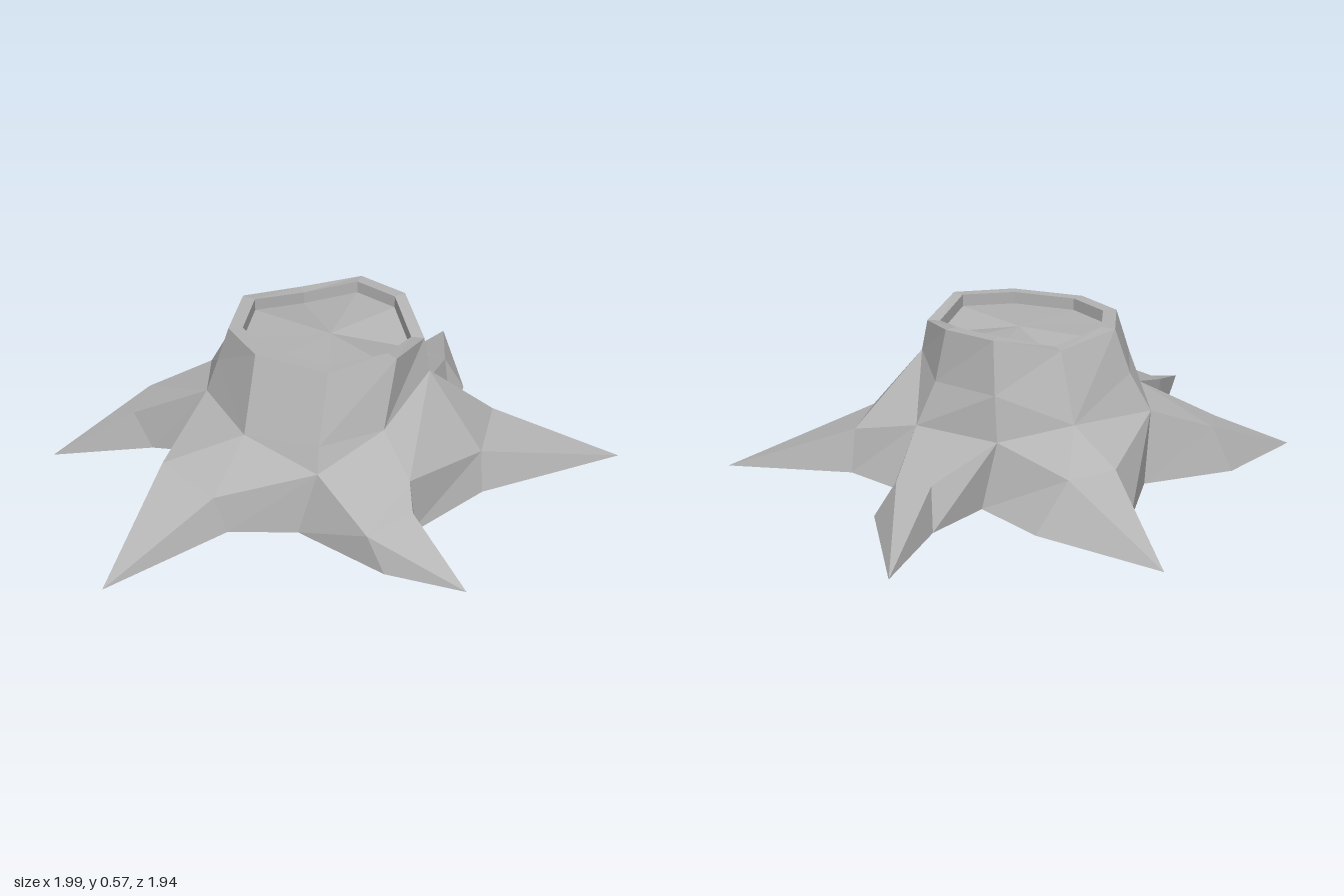
import * as THREE from 'three';

const vec = (p) => new THREE.Vector3(...p);

// Flat-shaded mesh from a list of triangles, each three Vector3 corners
function facetMesh(name, tris, material) {
  const geo = new THREE.BufferGeometry().setFromPoints(tris.flat());
  geo.computeVertexNormals();
  const mesh = new THREE.Mesh(geo, material);
  mesh.name = name;
  return mesh;
}

const quad = (a, b, c, d) => [[a, b, c], [a, c, d]];

// Closed band between a lower and an upper ring
const band = (lo, hi) => lo.flatMap((p, i) => {
  const j = (i + 1) % lo.length;
  return quad(lo[j], p, hi[i], hi[j]);
});

// Trunk rings, [x, y, z], running from +x towards +z
const rim = [
  [0.36, 0.575, 0], [0.3, 0.53, 0.25], [0.11, 0.57, 0.39], [-0.13, 0.555, 0.35], [-0.3, 0.555, 0.13],
  [-0.31, 0.555, -0.08], [-0.17, 0.56, -0.27], [0.07, 0.53, -0.29], [0.28, 0.575, -0.19],
].map(vec);
const waist = [
  [0.39, 0.38, 0.03], [0.31, 0.41, 0.28], [0.04, 0.33, 0.44], [-0.2, 0.32, 0.42], [-0.38, 0.29, 0.2],
  [-0.34, 0.41, -0.12], [-0.21, 0.4, -0.31], [0.08, 0.29, -0.39], [0.3, 0.39, -0.23],
].map(vec);

// Valleys between roots: top point, ground point, index on the waist ring
const valleys = [
  { top: [0.46, 0.22, 0.05], foot: [0.56, 0, 0.05], w: 0 },
  { top: [0.05, 0.22, 0.61], foot: [0.05, 0, 0.62], w: 2 },
  { top: [-0.22, 0.23, 0.45], foot: [-0.29, 0, 0.44], w: 3 },
  { top: [-0.38, 0.28, -0.14], foot: [-0.4, 0, -0.16], w: 5 },
  { top: [-0.27, 0.26, -0.36], foot: [-0.22, 0, -0.4], w: 6 },
  { top: [0.31, 0.23, -0.26], foot: [0.38, 0, -0.27], w: 8 },
].map((v) => ({ top: vec(v.top), foot: vec(v.foot), w: v.w }));

// Roots: tip, then the shoulder and ground point of each side
const roots = [
  { tip: [0.99, 0, 0.55], a: [0.6, 0.16, 0.27], ga: [0.63, 0, 0.25], b: [0.42, 0.15, 0.48], gb: [0.41, 0, 0.52] },
  { tip: [0.07, 0, 0.97], a: [0.02, 0.15, 0.69], ga: [0.04, 0, 0.7], b: [-0.16, 0.12, 0.7], gb: [-0.13, 0, 0.77] },
  { tip: [-1, 0, 0.43], a: [-0.54, 0.13, 0.29], ga: [-0.51, 0, 0.33], b: [-0.64, 0.17, 0.07], gb: [-0.62, 0, 0.04] },
  { tip: [-0.91, 0, -0.39], a: [-0.61, 0.15, -0.31], ga: [-0.56, 0, -0.27], b: [-0.5, 0.17, -0.43], gb: [-0.56, 0, -0.48] },
  { tip: [0.12, 0, -0.97], a: [0.03, 0.18, -0.57], ga: [0, 0, -0.62], b: [0.2, 0.17, -0.54], gb: [0.33, 0, -0.54] },
  { tip: [0.88, 0, -0.55], a: [0.58, 0.14, -0.28], ga: [0.61, 0, -0.34], b: [0.65, 0.13, -0.16], gb: [0.72, 0, -0.12] },
].map((r) => Object.fromEntries(Object.entries(r).map(([k, p]) => [k, vec(p)])));

function rootTriangles(r, va, vb) {
  const ma = waist[va.w], mb = waist[vb.w];
  const tris = [[r.tip, r.a, r.b]];
  const gap = (vb.w - va.w + waist.length) % waist.length;
  if (gap === 2) {
    // Broad root: its top fans out from a middle waist point
    const m = waist[va.w + 1];
    tris.push([va.top, ma, m], [vb.top, m, mb], [r.a, va.top, m], [r.b, r.a, m], [r.b, m, vb.top]);
  } else {
    tris.push(...quad(vb.top, va.top, ma, mb), ...quad(r.b, r.a, va.top, vb.top));
  }
  // Side walls down to the ground
  tris.push(
    ...quad(r.ga, va.foot, va.top, r.a), [r.tip, r.ga, r.a],
    [r.gb, r.tip, r.b], ...quad(vb.foot, r.gb, r.b, vb.top),
  );
  return tris;
}

export function createModel() {
  const group = new THREE.Group();
  group.name = 'treeStump';
  const grey = new THREE.MeshStandardMaterial({ color: 0xb4b4b4 });
  grey.name = 'stump grey';

  // Trunk wall, lip and shallow hollow
  const centre = new THREE.Vector3(0.03, 0, 0.05);
  const lip = rim.map((p) => new THREE.Vector3(
    centre.x + (p.x - centre.x) * 0.86, p.y, centre.z + (p.z - centre.z) * 0.86));
  const floor = lip.map((p) => p.clone().setY(p.y - 0.045));
  const middle = centre.clone().setY(0.515);
  group.add(facetMesh('trunk', band(waist, rim), grey));
  group.add(facetMesh('topLip', [...band(rim, lip), ...band(lip, floor)], grey));
  group.add(facetMesh('cutTop',
    floor.map((p, i) => [floor[(i + 1) % floor.length], p, middle]), grey));

  // Spreading roots
  const outline = [];
  roots.forEach((r, i) => {
    const va = valleys[i], vb = valleys[(i + 1) % valleys.length];
    group.add(facetMesh('root' + (i + 1), rootTriangles(r, va, vb), grey));
    outline.push(va.foot, r.ga, r.tip, r.gb);
  });

  // Flat underside, every triangle turned to face down
  const flat = outline.map((p) => new THREE.Vector2(p.x, p.z));
  const under = THREE.ShapeUtils.triangulateShape(flat, []).map((f) => {
    const [a, b, c] = f.map((k) => outline[k]);
    const up = b.clone().sub(a).cross(c.clone().sub(a)).y > 0;
    return up ? [a, c, b] : [a, b, c];
  });
  group.add(facetMesh('underside', under, grey));
  return group;
}
